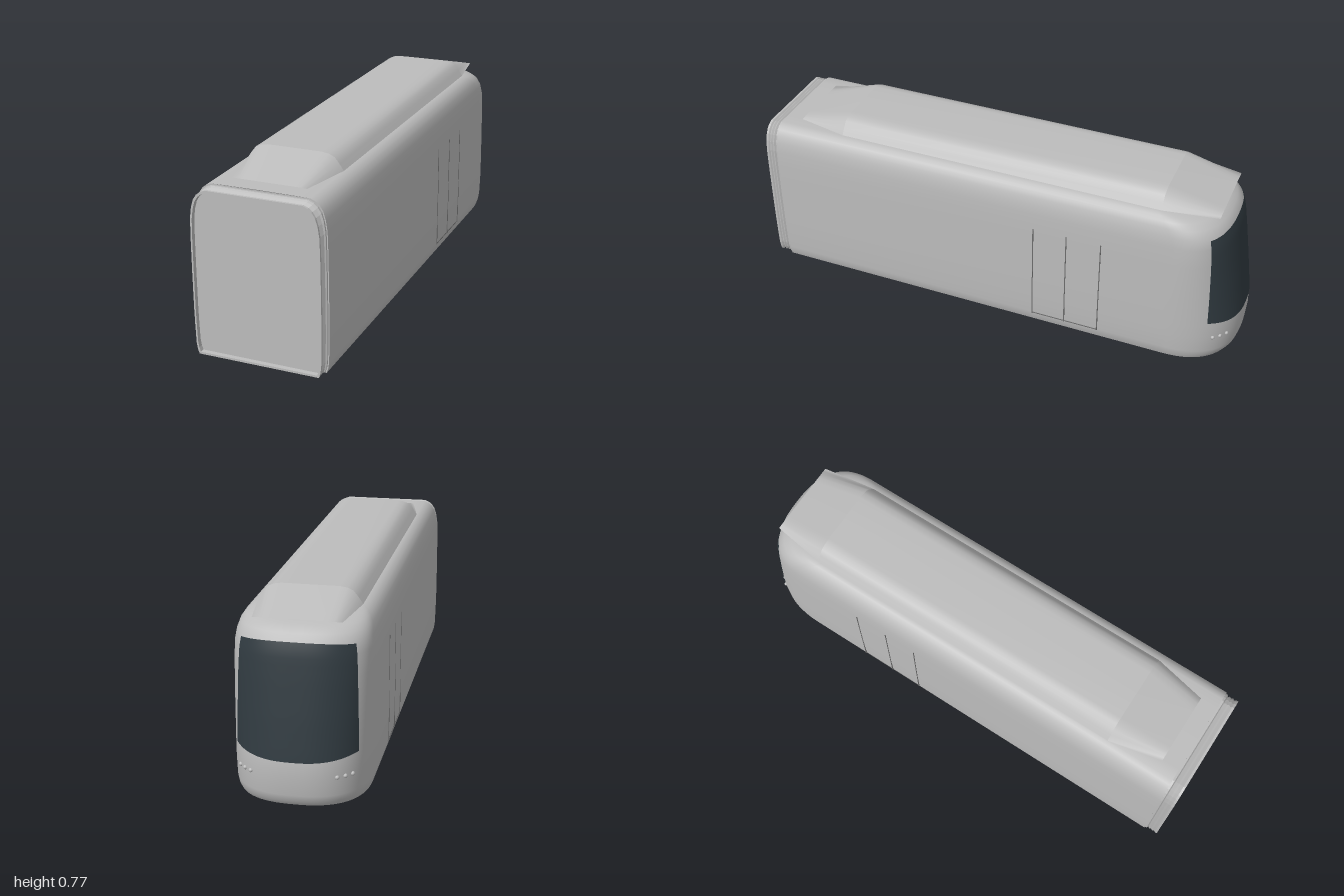
import * as THREE from 'three';

const N = 2.5;          // roundness of the nose in plan
const END = 0.945;      // z of the open coupling end of the shell
// Body levels: [y, half width, z where the nose curve starts, z of the nose tip]
const LEVELS = [
  [0.062, 0.24, -0.72, -0.972], [0.08, 0.246, -0.72, -0.985], [0.105, 0.25, -0.72, -0.992],
  [0.18, 0.252, -0.72, -0.998], [0.24, 0.253, -0.72, -0.993], [0.38, 0.253, -0.73, -0.972],
  [0.52, 0.252, -0.74, -0.949], [0.6, 0.25, -0.74, -0.935], [0.64, 0.244, -0.73, -0.925],
  [0.67, 0.235, -0.71, -0.9], [0.69, 0.222, -0.69, -0.865], [0.702, 0.207, -0.67, -0.81],
  [0.71, 0.188, -0.65, -0.75],
];

function levelAt(y) {
  let i = 0;
  while (i < LEVELS.length - 2 && LEVELS[i + 1][0] < y) i++;
  const a = LEVELS[i], b = LEVELS[i + 1], k = (y - a[0]) / (b[0] - a[0]);
  return a.map((v, n) => v + (b[n] - v) * k);
}

// Point on the rounded nose of a level, t from 0 (+x side) to PI (-x side)
function nosePoint([y, w, zs, zn], t, off = 0) {
  const c = Math.cos(t), s = Math.max(0, Math.sin(t));
  return [Math.sign(c) * Math.abs(c) ** (2 / N) * (w + off), y, zs - (zs - zn + off) * s ** (2 / N)];
}

// Whole plan outline of a level, from the coupling end round the nose and back
function outline(level) {
  const pts = [[level[1], level[0], END]];
  for (let i = 0; i <= 56; i++) pts.push(nosePoint(level, (Math.PI * i) / 56));
  pts.push([-level[1], level[0], END]);
  return pts;
}

// Surface through rows of points
function grid(rows, flat = false) {
  const n = rows[0].length, index = [];
  for (let j = 0; j < rows.length - 1; j++) {
    for (let i = 0; i < n - 1; i++) {
      const a = j * n + i;
      index.push(a, a + 1, a + n + 1, a, a + n + 1, a + n);
    }
  }
  let g = new THREE.BufferGeometry();
  g.setAttribute('position', new THREE.Float32BufferAttribute(rows.flat(2), 3));
  g.setIndex(index);
  if (flat) g = g.toNonIndexed();
  g.computeVertexNormals();
  return g;
}

export function createModel() {
  const model = new THREE.Group();
  model.name = 'railCar';
  const mat = (name, color, side = THREE.DoubleSide) => {
    const m = new THREE.MeshStandardMaterial({ color, side });
    m.name = name;
    return m;
  };
  const grey = mat('bodyGrey', 0xbcbcbc);
  const glass = mat('darkGlass', 0x303a40);
  const seam = mat('seamGrey', 0x6c6c6c);
  const add = (name, geometry, material, x = 0, y = 0, z = 0, parent = model) => {
    const m = new THREE.Mesh(geometry, material);
    m.name = name;
    m.position.set(x, y, z);
    parent.add(m);
    return m;
  };

  // Shell with smooth roof, and flat floor
  const roof = [[0.711, 0.14, -0.62, -0.71], [0.712, 0, -0.6, -0.62]];
  add('bodyShell', grid([...LEVELS, ...roof].map(outline)), grey);
  const floorEdge = outline(LEVELS[0]);
  add('floor', grid([floorEdge.map(([, y, z]) => [0, y, z]), floorEdge]), grey);

  // Cross-section of the body, used for the end wall and the gangway
  const right = LEVELS.map(([y, w]) => [w, y]);
  const section = [...right, ...right.slice().reverse().map(([x, y]) => [-x, y])];
  const sectionAt = (s) => section.map(([x, y]) => [x * s, 0.386 + (y - 0.386) * s]);
  const wall = (s) => new THREE.ShapeGeometry(
    new THREE.Shape(sectionAt(s).map(([x, y]) => new THREE.Vector2(x, y))));
  add('endWall', wall(1), grey, 0, 0, END);

  // Ribbed gangway frame and its recessed panel
  const ribs = [[END, 0.985], [0.953, 0.985], [0.957, 0.96], [0.964, 0.978], [0.971, 0.963],
    [0.978, 0.978], [0.985, 0.963], [0.991, 0.978], [1, 0.978], [1, 0.953], [0.982, 0.95]];
  add('gangwayFrame', grid(ribs.map(([z, s]) => {
    const loop = sectionAt(s).map(([x, y]) => [x, y, z]);
    return [...loop, loop[0]];
  }), true), grey);
  add('gangwayPanel', wall(0.951), grey, 0, 0, 0.983);

  // Windscreen wrapped round the nose
  const screen = [];
  for (let j = 0; j <= 16; j++) {
    const k = j / 16, row = [];
    const edge = Math.asin((0.64 + 0.05 * k) ** (N / 2));
    for (let i = 0; i <= 48; i++) {
      const t = edge + ((Math.PI - 2 * edge) * i) / 48;
      const side = Math.cos(t) ** 2;
      const y0 = 0.232 + 0.03 * side, y1 = 0.645 - 0.015 * side;
      row.push(nosePoint(levelAt(y0 + (y1 - y0) * k), t, 0.003));
    }
    screen.push(row);
  }
  add('windscreen', grid(screen), glass);

  // Roof fairing: long middle with tapered ends
  const profile = [[-1, 0], [-0.91, 0.4], [-0.82, 0.76], [-0.7, 0.93], [-0.56, 1], [0, 1],
    [0.56, 1], [0.7, 0.93], [0.82, 0.76], [0.91, 0.4], [1, 0]];
  const rib = (z, w, h) => profile.map(([x, y]) => [x * w, 0.713 + y * h, z]);
  const stations = [[0.875, 0.145, 0.001], [0.665, 0.19, 0.061], [-0.67, 0.19, 0.061], [-0.885, 0.158, 0.001]];
  const fairing = new THREE.Group();
  fairing.name = 'roofFairing';
  model.add(fairing);
  ['fairingFrontSlope', 'fairingTop', 'fairingRearSlope'].forEach((name, i) => {
    add(name, grid([rib(...stations[i + 1]), rib(...stations[i])]), grey, 0, 0, 0, fairing);
  });

  // Door seams on both sides
  for (const s of [1, -1]) {
    const door = new THREE.Group();
    door.name = s > 0 ? 'leftDoor' : 'rightDoor';
    model.add(door);
    for (const z of [-0.185, -0.322, -0.462]) {
      add('doorUprightSeam', new THREE.BoxGeometry(0.006, 0.43, 0.004), seam, s * 0.2508, 0.315, z, door);
    }
    add('doorSillSeam', new THREE.BoxGeometry(0.006, 0.004, 0.28), seam, s * 0.248, 0.102, -0.323, door);
  }

  // Three small lamps on each side of the nose
  for (const s of [1, -1]) {
    for (const a of [0.72, 0.86, 1.0]) {
      const [x, y, z] = nosePoint(levelAt(0.175), s > 0 ? a : Math.PI - a);
      add('lamp', new THREE.SphereGeometry(0.008, 12, 8), grey, x, y, z);
    }
  }

  // Flanged wheels, half hidden under the floor, joined by axles
  const wheelProfile = [[0, -0.014], [0.062, -0.005], [0.063, 0], [0.056, 0.004], [0.052, 0.016], [0, 0.018]]
    .map(([r, y]) => new THREE.Vector2(r, y));
  for (const z of [0.365, -0.02]) {
    for (const s of [1, -1]) {
      const wheel = add('wheel', new THREE.LatheGeometry(wheelProfile, 32), grey, s * 0.157, 0.064, z);
      wheel.rotation.z = -s * Math.PI / 2;
    }
    add('axle', new THREE.CylinderGeometry(0.005, 0.005, 0.3, 10), grey, 0, 0.061, z).rotation.z = Math.PI / 2;
  }
  return model;
}
